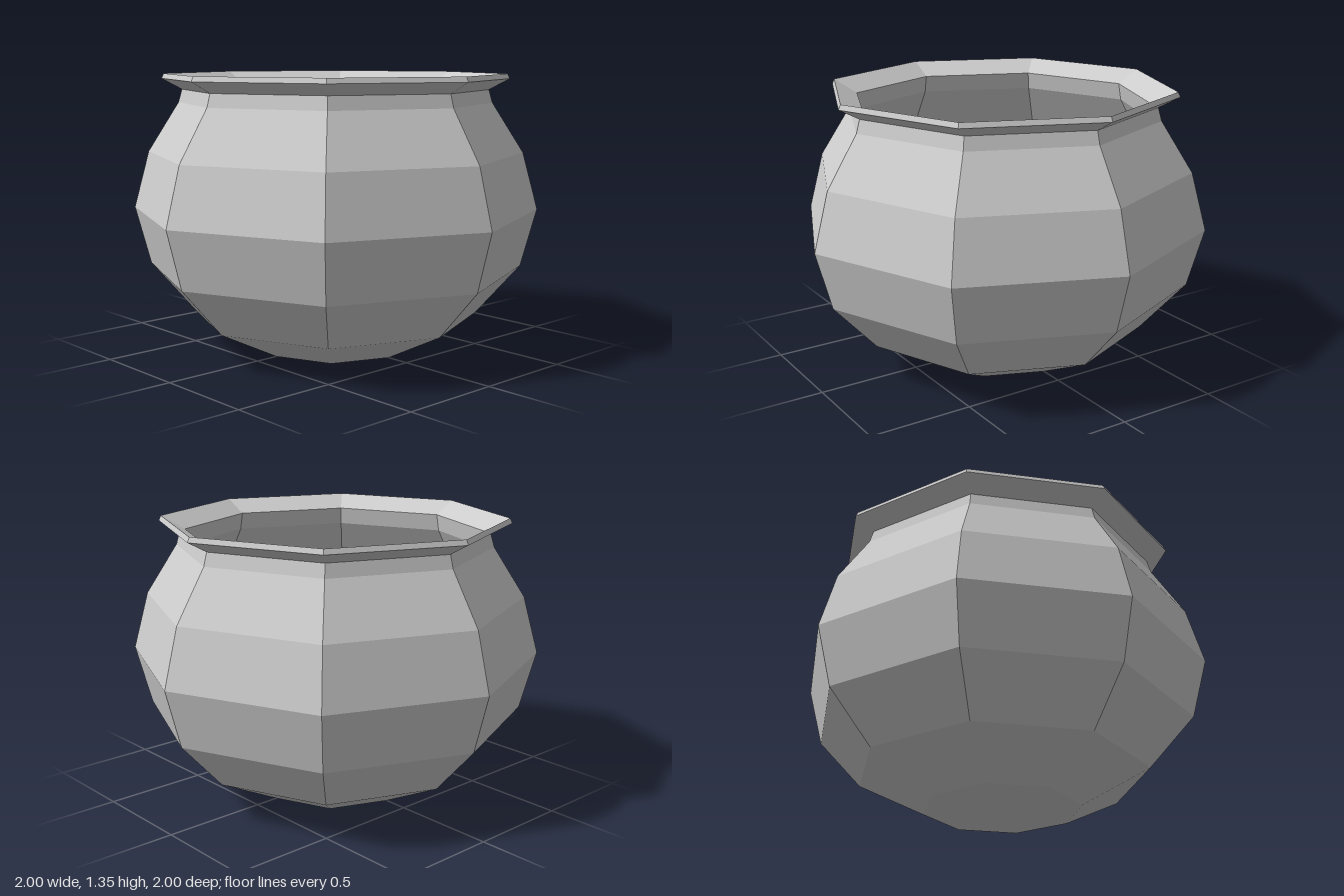
import * as THREE from 'three';

const SIDES = 8;

export function createModel() {
  const model = new THREE.Group();
  model.name = 'pot';
  const material = new THREE.MeshStandardMaterial({ color: 0xcccccc, flatShading: true });

  const addLathe = (name, profile) => {
    const points = profile.map(([r, y]) => new THREE.Vector2(r, y));
    const mesh = new THREE.Mesh(new THREE.LatheGeometry(points, SIDES), material);
    mesh.name = name;
    model.add(mesh);
  };

  // Outer belly, from the flat base up to the neck
  addLathe('body', [
    [0, 0], [0.383, 0], [0.707, 0.162], [0.924, 0.403],
    [1, 0.687], [0.924, 0.967], [0.77, 1.21], [0.752, 1.273],
  ]);

  // Flared lip
  addLathe('rim', [[0.752, 1.273], [0.852, 1.326], [0.841, 1.35], [0.726, 1.285]]);

  // Inner wall, from the lip down to the contents
  addLathe('innerWall', [[0.726, 1.285], [0.743, 1.2], [0.893, 0.955]]);

  // Flat surface of the contents
  const contents = new THREE.Mesh(new THREE.CircleGeometry(0.893, SIDES), material);
  contents.name = 'contents';
  contents.rotation.x = -Math.PI / 2;
  contents.position.y = 0.955;
  model.add(contents);

  return model;
}
